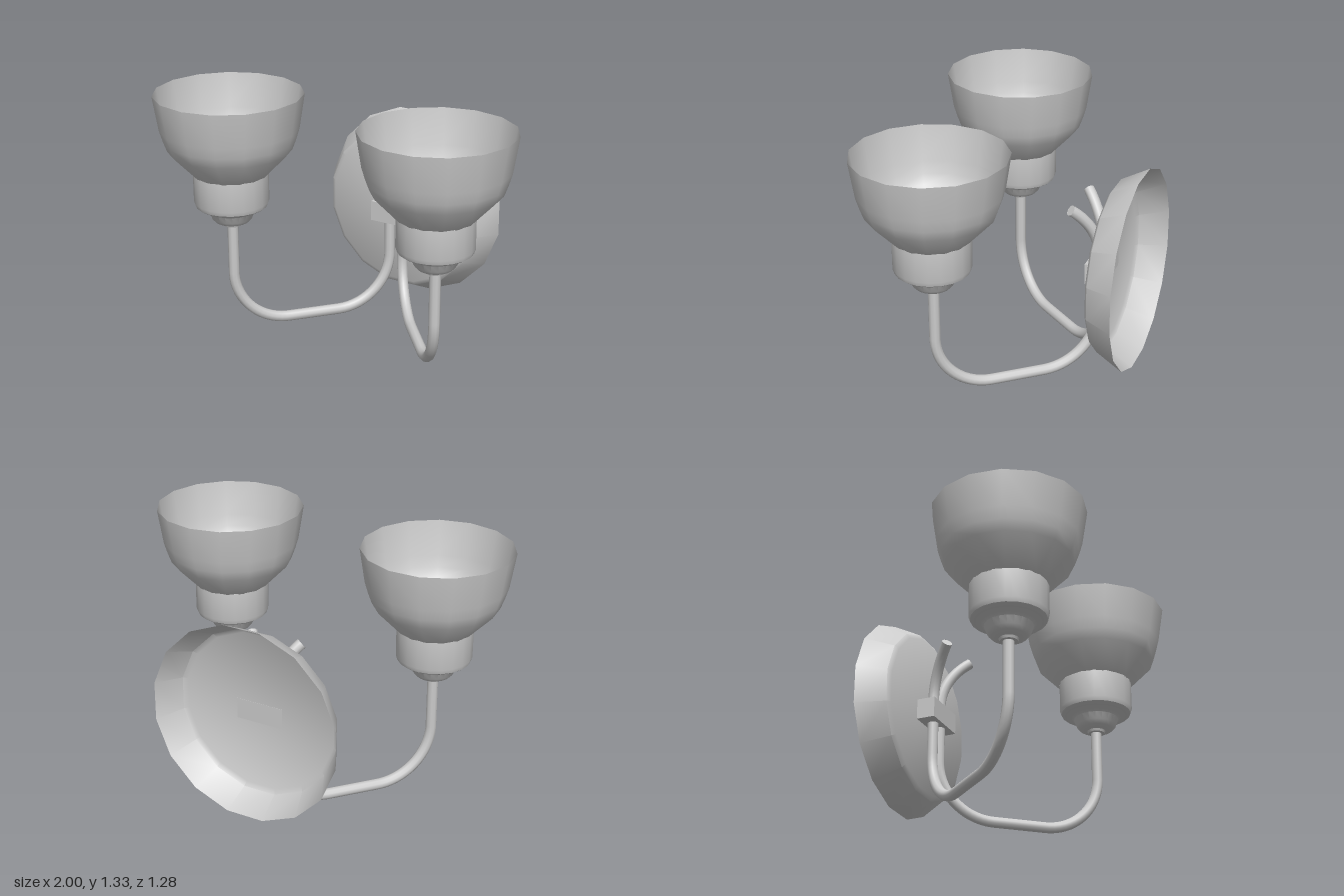
import * as THREE from 'three';
import { toCreasedNormals } from 'three/addons/utils/BufferGeometryUtils.js';

const material = new THREE.MeshStandardMaterial({ color: 0xcccccc, side: THREE.DoubleSide });

function add(parent, name, geometry) {
  const mesh = new THREE.Mesh(geometry, material);
  mesh.name = name;
  parent.add(mesh);
  return mesh;
}

// Turned part from [radius, height] pairs, listed bottom to top
function turned(profile, sides, start = 0) {
  const points = profile.map(([r, y]) => new THREE.Vector2(r, y));
  return toCreasedNormals(new THREE.LatheGeometry(points, sides, start), 0.6);
}

// Bent tube in a vertical plane running from the wall bracket out to the lamp
function armPath(side) {
  const at = (s, y) => {
    const t = s / 0.883;
    return new THREE.Vector3(side * (0.04 + 0.57 * t), y, -0.43 + 0.675 * t);
  };
  const path = new THREE.CurvePath();
  const line = (a, b) => path.add(new THREE.LineCurve3(at(...a), at(...b)));
  const bend = (a, b, c, d) => path.add(new THREE.CubicBezierCurve3(at(...a), at(...b), at(...c), at(...d)));
  bend([0.16, 0.925], [0.07, 0.86], [0, 0.76], [0, 0.65]);
  line([0, 0.65], [0, 0.33]);
  bend([0, 0.33], [0, 0.165], [0.135, 0.03], [0.3, 0.03]);
  line([0.3, 0.03], [0.583, 0.03]);
  bend([0.583, 0.03], [0.748, 0.03], [0.883, 0.165], [0.883, 0.33]);
  line([0.883, 0.33], [0.883, 0.63]);
  return path;
}

export function createModel() {
  const model = new THREE.Group();
  model.name = 'wallLamp';

  // Hollow wall plate, open at the back
  const plate = turned([[0.53, -0.64], [0.455, -0.495], [0.43, -0.48], [0, -0.48]], 16, Math.PI / 16);
  plate.rotateX(Math.PI / 2);
  add(model, 'wallPlate', plate).position.y = 0.583;

  // Block that clamps both arms to the plate
  add(model, 'bracket', new THREE.BoxGeometry(0.26, 0.11, 0.1)).position.set(0, 0.575, -0.431);

  for (const side of [-1, 1]) {
    const half = new THREE.Group();
    half.name = side > 0 ? 'leftLamp' : 'rightLamp';
    model.add(half);

    // Arm with a flat cap on its curled tip
    const path = armPath(side);
    add(half, 'arm', new THREE.TubeGeometry(path, 72, 0.029, 10));
    const cap = add(half, 'armTip', new THREE.CircleGeometry(0.029, 10));
    const tip = path.getPointAt(0);
    cap.position.copy(tip);
    cap.lookAt(tip.clone().sub(path.getTangentAt(0)));

    // Socket and shade share the lamp axis
    const lamp = new THREE.Group();
    lamp.name = 'lampHead';
    lamp.position.set(side * 0.61, 0, 0.247);
    lamp.rotation.y = side > 0 ? Math.PI : 0;
    half.add(lamp);
    add(lamp, 'socket', turned([
      [0, 0.605], [0.045, 0.605], [0.05, 0.618], [0.09, 0.63], [0.108, 0.65], [0.122, 0.687],
      [0.14, 0.7], [0.172, 0.71], [0.19, 0.722], [0.198, 0.745], [0.198, 0.9], [0, 0.9],
    ], 20));
    add(lamp, 'shade', turned([
      [0.198, 0.897], [0.325, 1.03], [0.345, 1.085], [0.363, 1.145], [0.392, 1.33],
    ], 15));
  }
  return model;
}
